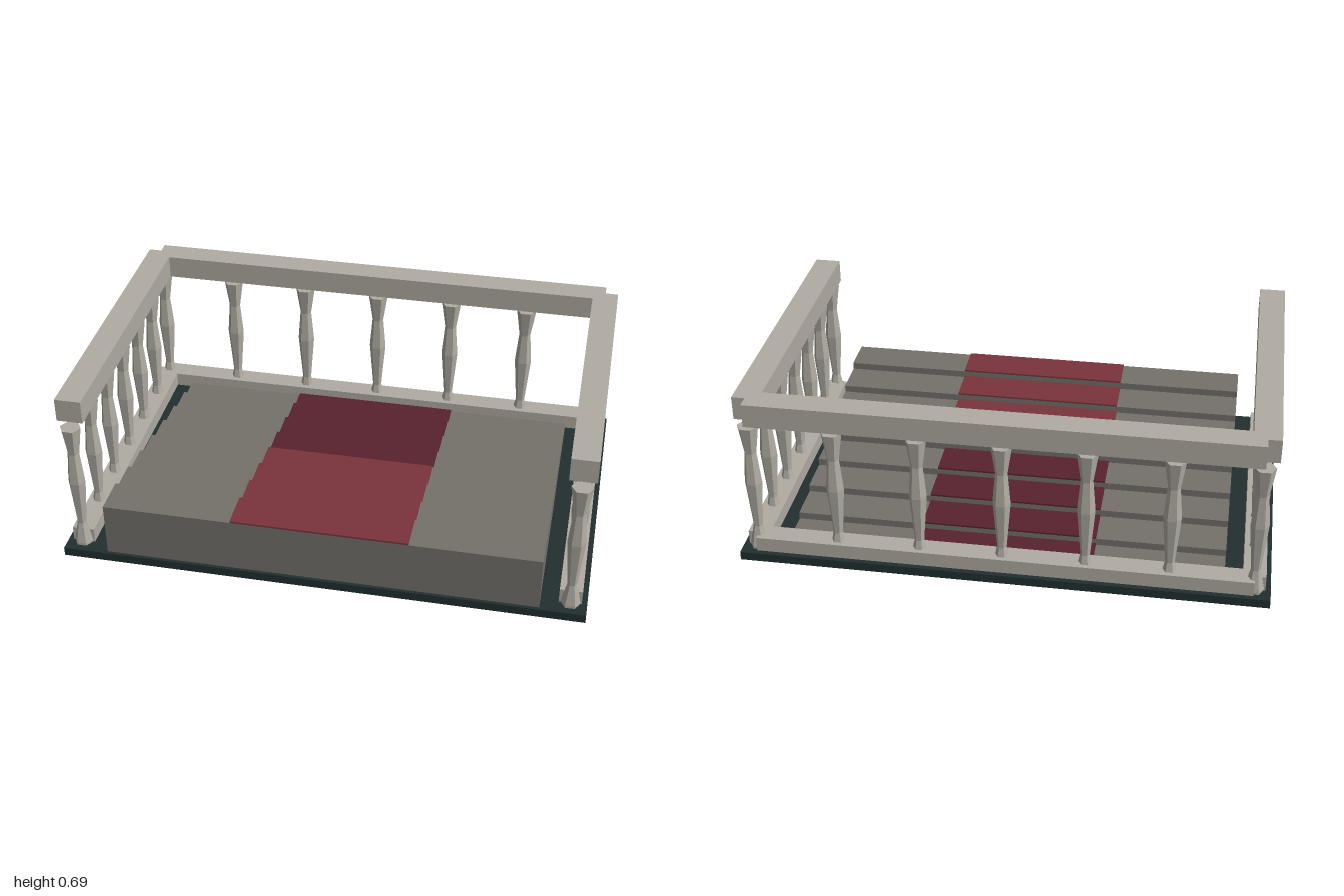
import * as THREE from 'three';

const mat = (name, color) => {
  const m = new THREE.MeshStandardMaterial({ color });
  m.name = name;
  return m;
};

export function createModel() {
  const stone = mat('pale stone', 0xb0aca3);
  const stepStone = mat('step stone', 0x74716b);
  const slab = mat('dark slab', 0x222f2f);
  const red = mat('carpet red', 0x7a343b);
  const darkRed = mat('carpet dark red', 0x58222d);

  const model = new THREE.Group();
  model.name = 'terrace';

  const add = (name, geometry, material, x = 0, y = 0, z = 0) => {
    const mesh = new THREE.Mesh(geometry, material);
    mesh.name = name;
    mesh.position.set(x, y, z);
    model.add(mesh);
    return mesh;
  };
  // Box given by its limits on each axis
  const block = (name, material, [x0, x1], [y0, y1], [z0, z1]) =>
    add(name, new THREE.BoxGeometry(x1 - x0, y1 - y0, z1 - z0), material,
      (x0 + x1) / 2, (y0 + y1) / 2, (z0 + z1) / 2);

  // Ground slab, a hair above the underside of the steps
  block('baseSlab', slab, [-1, 1], [0.0006, 0.035], [-0.643, 0.643]);

  // Staircase: highest at the front, falling towards the back
  const STEPS = 8, TREAD = 0.15, DROP = 0.028, FRONT = 0.63, TOP = 0.25;
  const profile = new THREE.Shape();
  profile.moveTo(-FRONT, 0);
  profile.lineTo(-FRONT + STEPS * TREAD, 0);
  for (let i = STEPS - 1; i >= 0; i--) {
    profile.lineTo(-FRONT + (i + 1) * TREAD, TOP - i * DROP);
    profile.lineTo(-FRONT + i * TREAD, TOP - i * DROP);
  }
  const stairs = new THREE.ExtrudeGeometry(profile, { depth: 1.656, bevelEnabled: false });
  stairs.translate(0, 0, -0.828);
  stairs.rotateY(Math.PI / 2);
  add('steps', stairs, stepStone);

  // Carpet strip on every tread: bright in front, dark behind
  for (let i = 0; i < STEPS; i++) {
    const y = TOP - i * DROP, z = FRONT - i * TREAD;
    block('carpet' + (i + 1), i < 4 ? red : darkRed,
      [-0.336, 0.336], [y, y + 0.007], [z - TREAD, z]);
  }

  // Lower and upper rails on three sides, with notched back corners
  for (const side of [-1, 1]) {
    const span = (a, b) => (side > 0 ? [a, b] : [-b, -a]);
    block('lowerSideRail', stone, span(0.895, 0.98), [0.03, 0.093], [-0.583, 0.583]);
    block('upperSideRail', stone, span(0.888, 0.988), [0.593, 0.685], [-0.583, 0.583]);
  }
  block('lowerBackRail', stone, [-0.938, 0.938], [0.03, 0.093], [-0.623, -0.54]);
  block('upperBackRail', stone, [-0.938, 0.938], [0.593, 0.685], [-0.632, -0.532]);

  // Six-sided turned baluster
  const outline = [[0, 0], [0.036, 0], [0.036, 0.045], [0.018, 0.13], [0.034, 0.325],
    [0.023, 0.455], [0.04, 0.57], [0, 0.57]].map(([r, y]) => new THREE.Vector2(r, y));
  const baluster = new THREE.LatheGeometry(outline, 6, Math.PI / 2).toNonIndexed();
  baluster.computeVertexNormals();

  for (let i = -3; i <= 3; i++) {
    for (const side of [-1, 1]) add('sideBaluster', baluster, stone, side * 0.938, 0, i * 0.1943);
    if (Math.abs(i) < 3) add('backBaluster', baluster, stone, i * 0.3127, 0, -0.583);
  }

  return model;
}
